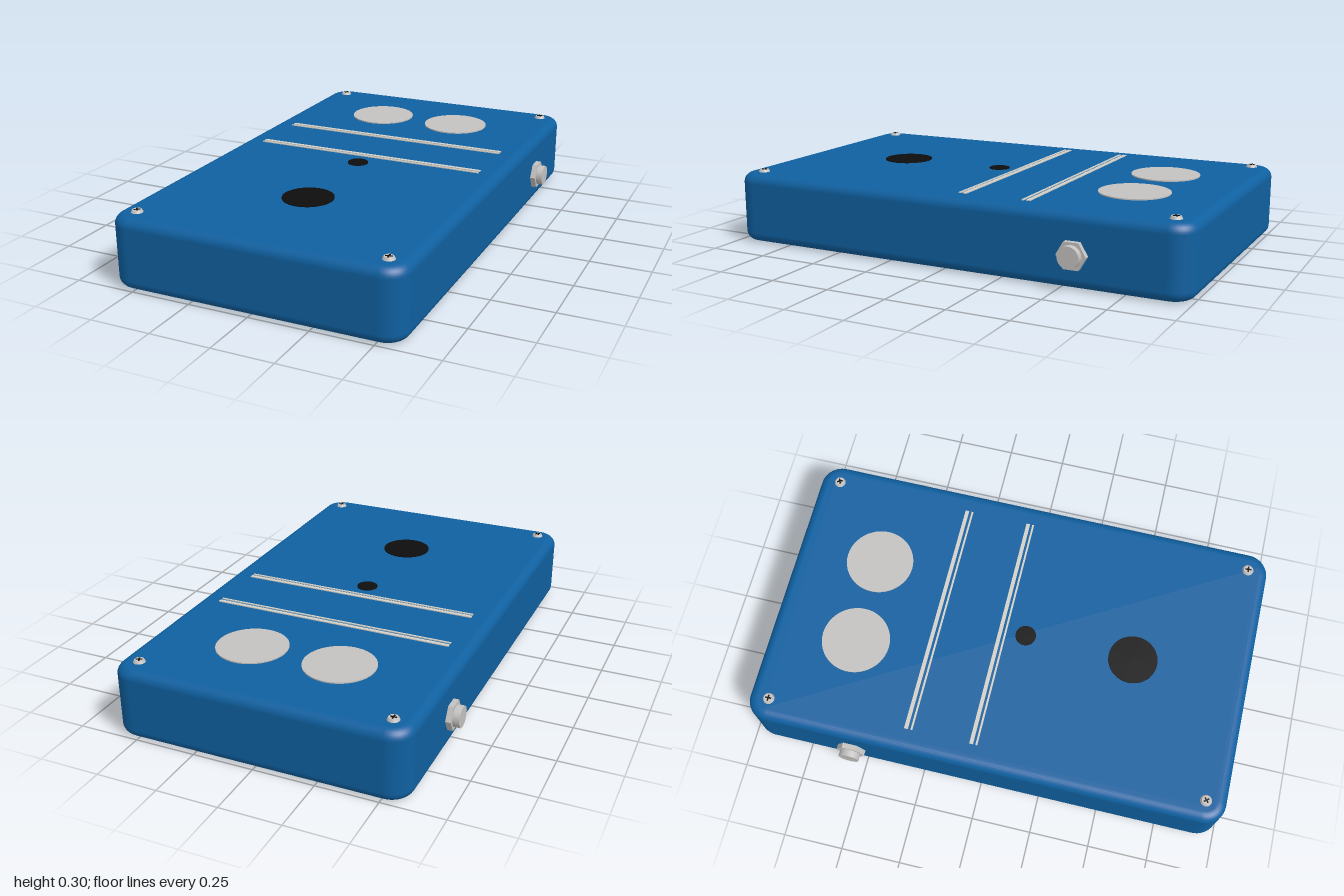
import * as THREE from 'three';

const W = 0.6, D = 1, H = 0.292, R = 0.09, F = 0.04; // half width, half depth, height, corner radius, edge fillet

const mat = (name, color) => {
  const m = new THREE.MeshStandardMaterial({ color });
  m.name = name;
  return m;
};

// Rounded slab: plan corners of radius R, top and bottom edges filleted by F
function enclosureGeometry() {
  const s = new THREE.Shape();
  const corners = [[W - R, D - R, 0], [R - W, D - R, 1], [R - W, R - D, 2], [W - R, R - D, 3]];
  corners.forEach(([x, y, q]) => s.absarc(x, y, R, q * Math.PI / 2, (q + 1) * Math.PI / 2, false));
  const g = new THREE.ExtrudeGeometry(s, {
    depth: H - 2 * F, curveSegments: 10, bevelEnabled: true,
    bevelThickness: F, bevelSize: F, bevelOffset: -F, bevelSegments: 7,
  });
  g.rotateX(-Math.PI / 2).translate(0, F, 0);
  // Exact smooth normals, so the flat faces stay flat
  const p = g.attributes.position, n = g.attributes.normal;
  const clamp = THREE.MathUtils.clamp;
  for (let i = 0; i < p.count; i++) {
    const x = p.getX(i), y = p.getY(i), z = p.getZ(i);
    const u = new THREE.Vector2(x - clamp(x, R - W, W - R), z - clamp(z, R - D, D - R)).normalize();
    const ny = clamp((y - clamp(y, F, H - F)) / F, -1, 1);
    const k = Math.sqrt(1 - ny * ny);
    n.setXYZ(i, u.x * k, ny, u.y * k);
  }
  return g;
}

export function createModel() {
  const blue = mat('enclosureBlue', 0x0f60a0);
  const silver = mat('silver', 0xc4c2c0);
  const cream = mat('stripeCream', 0xd2d0c8);
  const black = mat('black', 0x0e0e0e);
  const root = new THREE.Group();
  root.name = 'effectPedal';

  const add = (name, geo, material, x, y, z, parent = root) => {
    const m = new THREE.Mesh(geo, material);
    m.name = name;
    m.position.set(x, y, z);
    parent.add(m);
    return m;
  };
  const disc = (name, r, h, material, x, z) =>
    add(name, new THREE.CylinderGeometry(r, r, h, 48), material, x, H + h / 2, z);

  add('enclosure', enclosureGeometry(), blue, 0, 0, 0);

  // Knob plates, indicator and foot switch on the top face
  disc('leftKnobPlate', 0.143, 0.005, silver, 0.185, -0.635);
  disc('rightKnobPlate', 0.143, 0.005, silver, -0.185, -0.635);
  disc('indicator', 0.043, 0.004, black, 0, 0.053);
  disc('footSwitch', 0.103, 0.004, black, 0, 0.512);

  // Two pairs of stripes, each one thick and one thin
  for (const [z, w] of [[-0.329, 0.016], [-0.306, 0.008], [-0.055, 0.016], [-0.033, 0.008]])
    add('stripe', new THREE.BoxGeometry(1.016, 0.004, w), cream, 0, H + 0.002, z);

  // Corner screws with cross slots
  let turn = 0;
  for (const x of [-0.515, 0.515]) for (const z of [-0.913, 0.913]) {
    const screw = new THREE.Group();
    screw.name = 'screw';
    screw.position.set(x, H, z);
    screw.rotation.y = [0, 0.7, 0.45, 0.1][turn++];
    root.add(screw);
    add('screwHead', new THREE.CylinderGeometry(0.019, 0.024, 0.01, 24), silver, 0, 0.005, 0, screw);
    add('slot', new THREE.BoxGeometry(0.026, 0.002, 0.006), black, 0, 0.0105, 0, screw);
    add('slot', new THREE.BoxGeometry(0.006, 0.002, 0.026), black, 0, 0.0105, 0, screw);
  }

  // Jack sockets on both sides: hex nut and round barrel
  for (const s of [-1, 1]) {
    const jack = new THREE.Group();
    jack.name = s > 0 ? 'leftJack' : 'rightJack';
    jack.position.set(s * W, 0.134, -0.555);
    jack.rotation.z = -s * Math.PI / 2;
    root.add(jack);
    const nut = new THREE.CylinderGeometry(0.06, 0.06, 0.03, 6).toNonIndexed();
    nut.computeVertexNormals();
    add('jackNut', nut, silver, 0, 0.007, 0, jack);
    add('jackBarrel', new THREE.CylinderGeometry(0.043, 0.043, 0.05, 32), silver, 0, 0.024, 0, jack);
  }
  return root;
}
